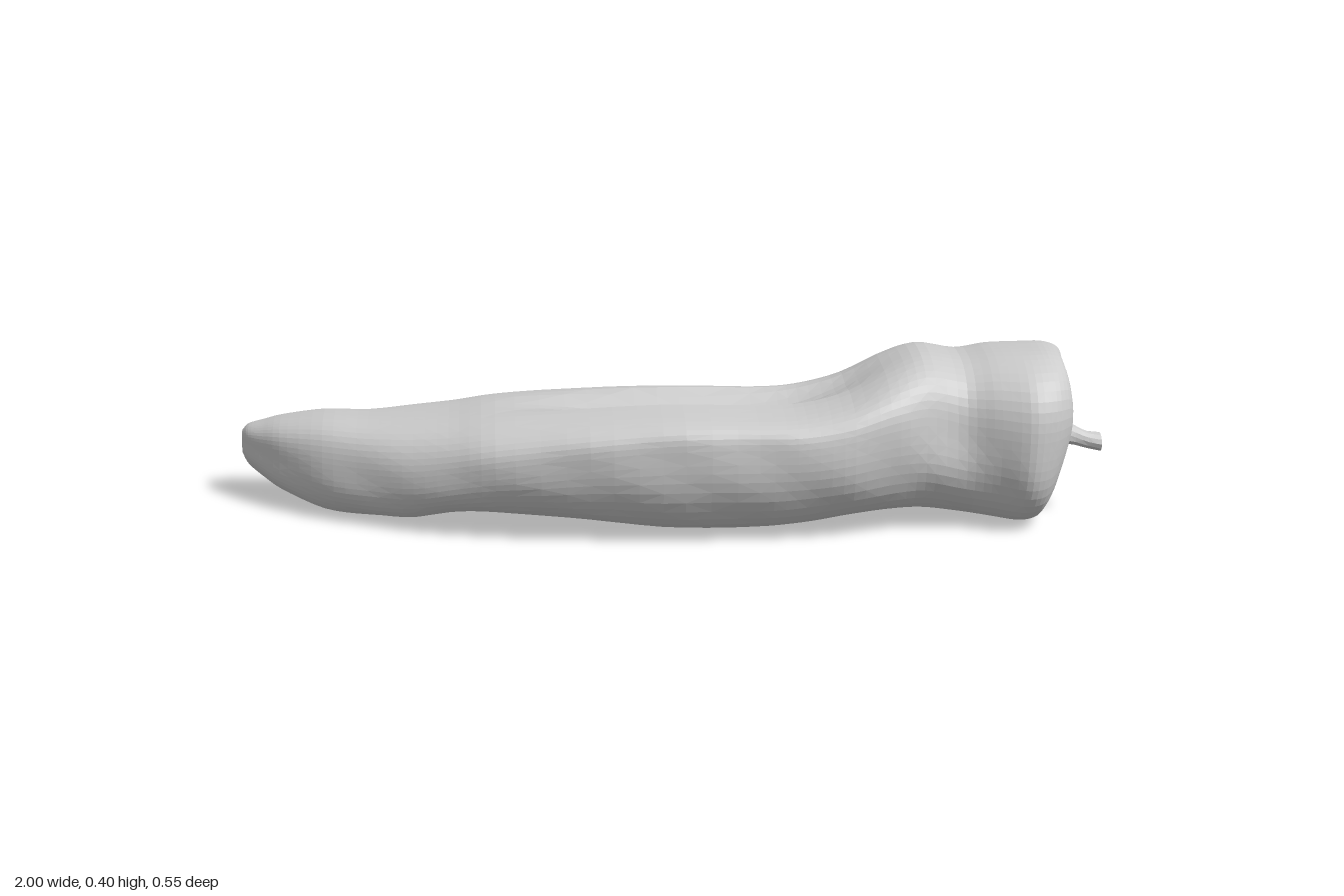
import * as THREE from 'three';

// Smooth bump: 1 at the centre, 0 beyond the half-width
const bump = (v, centre, half) => {
  const d = Math.min(1, Math.abs(v - centre) / half);
  return (1 - d * d) ** 2;
};

// Lofts closed rings along x through stations [x, yBottom, yTop, zBack, zFront]
function loft(stations, steps, sides, power, deform) {
  const spline = (lo, hi) => new THREE.CatmullRomCurve3(
    stations.map((s) => new THREE.Vector3(s[0], s[lo], s[hi])), false, 'catmullrom', 0.45);
  const heights = spline(1, 2), widths = spline(3, 4);
  const pos = [], index = [];
  for (let i = 0; i <= steps; i++) {
    const h = heights.getPoint(i / steps), w = widths.getPoint(i / steps);
    for (let j = 0; j < sides; j++) {
      // Rounded-square ring with evenly spread points
      const a = (j / sides) * Math.PI * 2, ca = Math.cos(a), sa = Math.sin(a);
      const r = (Math.abs(ca) ** power + Math.abs(sa) ** power) ** (-1 / power);
      const c = ca * r, s = sa * r;
      const p = new THREE.Vector3(h.x,
        (h.y + h.z) / 2 + s * (h.z - h.y) / 2,
        (w.y + w.z) / 2 + c * (w.z - w.y) / 2);
      deform(p, c, s, i / steps);
      pos.push(p.x, p.y, p.z);
    }
  }
  const first = pos.length / 3, last = first + 1;
  for (const ring of [0, steps]) {
    const mid = new THREE.Vector3(), v = new THREE.Vector3();
    for (let j = 0; j < sides; j++) mid.add(v.fromArray(pos, (ring * sides + j) * 3));
    mid.divideScalar(sides);
    pos.push(mid.x, mid.y, mid.z);
  }
  for (let j = 0; j < sides; j++) {
    const k = (j + 1) % sides;
    for (let i = 0; i < steps; i++) {
      const a = i * sides + j, b = i * sides + k, c = a + sides, d = b + sides;
      // Alternate the diagonals for an irregular facet pattern
      if ((i + j) % 2) index.push(a, d, b, a, c, d);
      else index.push(a, c, b, b, c, d);
    }
    // Caps at both ends
    index.push(first, j, k, last, steps * sides + k, steps * sides + j);
  }
  const g = new THREE.BufferGeometry();
  g.setAttribute('position', new THREE.Float32BufferAttribute(pos, 3));
  g.setIndex(index);
  g.computeVertexNormals();
  return g;
}

export function createModel() {
  const group = new THREE.Group();
  group.name = 'pepper';
  const material = new THREE.MeshStandardMaterial({
    color: 0xcccccc, flatShading: true, side: THREE.DoubleSide,
  });
  const add = (name, geometry) => {
    const mesh = new THREE.Mesh(geometry, material);
    mesh.name = name;
    group.add(mesh);
  };

  // Fruit skin, from the blunt tip over the shoulder and into the stem hollow
  const skin = [
    [-1.0, 0.105, 0.16, -0.255, -0.21],
    [-0.985, 0.082, 0.175, -0.27, -0.18],
    [-0.95, 0.06, 0.188, -0.275, -0.135],
    [-0.9, 0.035, 0.205, -0.275, -0.08],
    [-0.8, 0.006, 0.225, -0.265, 0.0],
    [-0.7, 0.003, 0.23, -0.25, 0.06],
    [-0.6, 0.006, 0.24, -0.262, 0.115],
    [-0.5, 0.03, 0.252, -0.262, 0.165],
    [-0.4, 0.036, 0.27, -0.257, 0.205],
    [-0.2, 0.024, 0.288, -0.243, 0.25],
    [0.0, 0.005, 0.3, -0.217, 0.27],
    [0.2, 0.004, 0.295, -0.222, 0.272],
    [0.3, 0.012, 0.3, -0.23, 0.272],
    [0.4, 0.026, 0.325, -0.233, 0.265],
    [0.5, 0.032, 0.373, -0.226, 0.235],
    [0.58, 0.03, 0.397, -0.221, 0.208],
    [0.67, 0.016, 0.383, -0.217, 0.195],
    [0.74, 0.007, 0.395, -0.213, 0.21],
    [0.81, 0.002, 0.4, -0.208, 0.236],
    [0.86, 0.01, 0.4, -0.195, 0.222],
    [0.89, 0.045, 0.386, -0.155, 0.19],
    [0.895, 0.1, 0.345, -0.095, 0.168],
    [0.87, 0.135, 0.308, -0.055, 0.15],
    [0.83, 0.145, 0.295, -0.035, 0.138],
    [0.81, 0.18, 0.255, 0.01, 0.09],
  ];
  add('fruit', loft(skin, 90, 56, 2.7, (p, c, s, t) => {
    const x = p.x, flank = 1 - s * s;
    // The front flank bulges high on the body, the back flank bulges low
    p.y += 0.065 * bump(x, 0.15, 0.75) * Math.max(0, c) * flank;
    p.y -= 0.05 * bump(x, 0.5, 0.9) * Math.max(0, -c) * flank;
    // The back slopes inward towards the top of the shoulder
    if (s > 0) p.z += 0.03 * bump(x, 0.65, 0.5) * Math.max(0, -c) * s;
    // Narrow crease along the top and a wider one underneath
    if (s > 0) p.y -= 0.045 * bump(x, 0.05, 0.5) * bump(p.z, 0.02 + 0.04 * x, 0.085);
    else p.y += 0.055 * bump(x, -0.22, 0.52) * bump(p.z, -0.045, 0.11);
    // Front dimple behind the shoulder
    if (c > 0) p.z -= 0.015 * bump(x, 0.64, 0.12) * bump(p.y, 0.28, 0.14);
    // Shoulder leans forward at the top
    const lean = THREE.MathUtils.smoothstep(t, 0.7, 0.86);
    p.x += lean * (0.1 * (p.y - 0.2) + 0.008 * Math.sin(3 * Math.atan2(s, c) + 1));
    // Slight unevenness of the skin
    const wave = Math.sin(17 * x + 5 * c) * Math.sin(11 * x + 4 * s + 2 * c);
    p.z += 0.003 * wave * c;
    p.y += 0.003 * wave * s * (1 - Math.abs(s));
  }));

  // Stem with a flared, slightly lumpy base and a cut end
  const stem = [
    [0.8, 0.14, 0.285, -0.015, 0.12],
    [0.835, 0.15, 0.28, -0.01, 0.112],
    [0.865, 0.16, 0.268, 0.002, 0.096],
    [0.895, 0.172, 0.243, 0.014, 0.084],
    [0.93, 0.174, 0.222, 0.022, 0.074],
    [0.965, 0.164, 0.204, 0.019, 0.072],
    [1.0, 0.155, 0.198, 0.015, 0.074],
  ];
  add('stem', loft(stem, 14, 12, 2, (p, c, s, t) => {
    const lump = 0.006 * Math.sin(3 * Math.atan2(s, c) + 6 * t) * (1 - t);
    p.y += lump * s;
    p.z += lump * c;
  }));
  return group;
}
